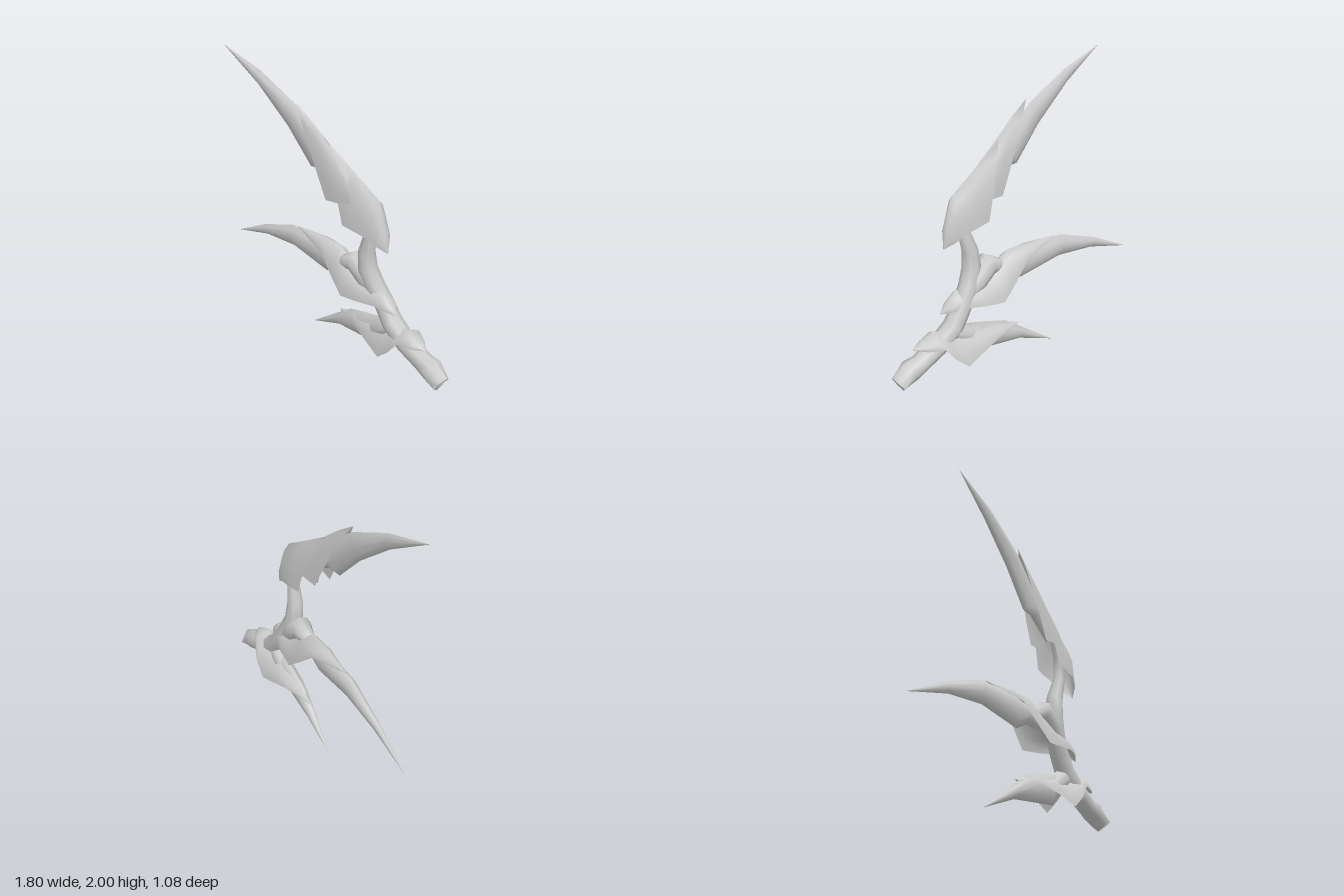
import * as THREE from 'three';

const material = new THREE.MeshStandardMaterial({ color: 0xcccccc, side: THREE.DoubleSide });

// Skin a list of equal-length cross-sections (arrays of Vector3)
function loft(name, rows, closed) {
  const n = rows[0].length, index = [];
  const cols = closed ? n : n - 1;
  for (let i = 0; i < rows.length - 1; i++) {
    for (let j = 0; j < cols; j++) {
      const k = (j + 1) % n;
      const a = i * n + j, b = i * n + k, c = a + n, d = b + n;
      index.push(a, c, b, b, c, d);
    }
  }
  const geometry = new THREE.BufferGeometry().setFromPoints(rows.flat());
  geometry.setIndex(index);
  geometry.computeVertexNormals();
  const mesh = new THREE.Mesh(geometry, material);
  mesh.name = name;
  return mesh;
}

// Each limb lies in an upright plane z = z0 + slope * x
function limbPlane(z0, slope) {
  const len = Math.hypot(1, slope);
  return (x, y, off) => new THREE.Vector3(
    x - off * slope / len, y, z0 + slope * x + off / len);
}

// Pointed blade with a lens section; rows: outer x, y, inner x, y, half thickness
function blade(name, at, rows) {
  const section = [[0, 0], [0.2, 0.8], [0.5, 1], [0.8, 0.65], [1, 0], [0.8, -0.65], [0.5, -1], [0.2, -0.8]];
  return loft(name, rows.map(([ox, oy, ix, iy, t]) => section.map(([f, s]) =>
    at(ox + (ix - ox) * f, oy + (iy - oy) * f, s * t))), true);
}

// Open plate folded over a ridge; rows: ridge x, y, front edge x, y, front width.
// The back flank is wider by the factor back.
function plate(name, at, back, rows) {
  const half = [[1, 1], [0.75, 0.93], [0.45, 0.75], [0.18, 0.42]];
  const section = [...half, [0, 0], ...half.map(([f, s]) => [f, -s * back]).reverse()];
  const lean = 0.45;
  return loft(name, rows.map(([rx, ry, ex, ey, w]) => section.map(([f, s]) =>
    at(rx + (ex - rx) * f + Math.min(Math.abs(s), 1) * w * lean, ry + (ey - ry) * f, s * w))), false);
}

// Eight-sided limb; points: x, y, z, radius, optional scale of every other corner
function limb(name, points) {
  const up = new THREE.Vector3(-0.45, 0, 0.89);
  const p = points.map(q => new THREE.Vector3(q[0], q[1], q[2]));
  const rows = p.map((c, i) => {
    const dir = p[Math.min(i + 1, p.length - 1)].clone().sub(p[Math.max(i - 1, 0)]).normalize();
    const u = up.clone().addScaledVector(dir, -up.dot(dir)).normalize();
    const v = dir.clone().cross(u);
    const [, , , radius, odd = 1] = points[i];
    return Array.from({ length: 8 }, (_, j) => {
      const a = j / 4 * Math.PI, r = j % 2 ? radius * odd : radius;
      return c.clone().addScaledVector(u, r * Math.cos(a)).addScaledVector(v, r * Math.sin(a));
    });
  });
  return loft(name, rows, true);
}

export function createModel() {
  const group = new THREE.Group();
  const upper = limbPlane(0.1, 0.47);
  const upperFront = limbPlane(0.12, 0.47);
  const middle = limbPlane(0.005, 0.605);
  const lower = limbPlane(-0.07, 0.66);

  // Arm running from the diamond-shaped root joint up to the upper blade
  group.add(limb('arm', [
    [0.865, 0.17, 0.475, 0.076, 0.71], [0.79, 0.235, 0.425, 0.076], [0.73, 0.255, 0.39, 0.066],
    [0.6, 0.325, 0.32, 0.07], [0.49, 0.42, 0.255, 0.072], [0.42, 0.54, 0.22, 0.066],
    [0.345, 0.66, 0.2, 0.068], [0.3, 0.77, 0.195, 0.065], [0.295, 0.9, 0.205, 0.055],
    [0.325, 1.05, 0.235, 0.04], [0.3, 1.2, 0.235, 0.035], [0.22, 1.32, 0.2, 0.02]]));
  group.add(limb('rootCap', [[0.875, 0.165, 0.48, 0], [0.865, 0.17, 0.475, 0.076, 0.71]]));

  // Short branches joining the arm to the two side blades
  group.add(limb('middleBranch', [
    [0.4, 0.58, 0.21, 0.03], [0.3, 0.67, 0.17, 0.075], [0.2, 0.765, 0.12, 0.08],
    [0.12, 0.72, 0.08, 0.05], [0.02, 0.68, 0.02, 0.03]]));
  group.add(limb('lowerBranch', [
    [0.52, 0.4, 0.27, 0.04], [0.44, 0.36, 0.22, 0.068], [0.36, 0.29, 0.17, 0.06], [0.26, 0.26, 0.1, 0.03]]));

  // Blades
  group.add(blade('upperBlade', upper, [
    [-0.84, 2, -0.84, 2, 0], [-0.53, 1.9, -0.55, 1.8, 0.028], [-0.23, 1.74, -0.31, 1.58, 0.04],
    [-0.02, 1.55, -0.13, 1.36, 0.04], [0.04, 1.48, -0.03, 1.36, 0.04], [0.2, 1.36, 0.14, 1.25, 0.03]]));
  group.add(blade('middleBlade', middle, [
    [-0.9, 0.47, -0.9, 0.47, 0], [-0.63, 0.64, -0.6, 0.575, 0.025], [-0.35, 0.77, -0.34, 0.61, 0.045],
    [-0.1, 0.785, -0.04, 0.56, 0.05], [0.05, 0.76, 0.05, 0.62, 0.045], [0.2, 0.73, 0.2, 0.62, 0.03]]));
  group.add(blade('lowerBlade', lower, [
    [-0.2, 0, -0.2, 0, 0], [0.04, 0.22, 0.04, 0.12, 0.035], [0.14, 0.31, 0.2, 0.145, 0.048],
    [0.28, 0.365, 0.37, 0.17, 0.05], [0.41, 0.41, 0.42, 0.25, 0.04]]));

  // Overlapping plates on the upper blade
  group.add(plate('upperOuterPlate', upperFront, 1.7, [
    [-0.23, 1.77, 0.01, 1.2, 0.045], [-0.1, 1.67, 0.06, 1.21, 0.05],
    [0.03, 1.55, 0.12, 1.22, 0.055], [0.17, 1.42, 0.2, 1.25, 0.05]]));
  group.add(plate('upperInnerPlate', upper, 1.2, [
    [0.02, 1.565, 0.14, 1.08, 0.075], [0.2, 1.435, 0.2, 1.075, 0.08], [0.38, 1.31, 0.31, 1.06, 0.075],
    [0.44, 1.12, 0.39, 1.01, 0.05], [0.46, 0.96, 0.46, 0.96, 0]]));

  // Plates wrapping the roots of the side blades
  group.add(plate('middlePlate', middle, 1.4, [
    [-0.31, 0.78, -0.31, 0.78, 0], [-0.1, 0.81, -0.07, 0.73, 0.06], [0.06, 0.81, 0.03, 0.61, 0.08],
    [0.13, 0.75, 0.12, 0.51, 0.095], [0.26, 0.67, 0.25, 0.53, 0.085], [0.42, 0.65, 0.37, 0.55, 0.065],
    [0.48, 0.59, 0.45, 0.54, 0.045], [0.53, 0.52, 0.53, 0.52, 0]]));
  group.add(plate('lowerPlate', lower, 1.35, [
    [0.04, 0.25, 0.04, 0.25, 0], [0.18, 0.32, 0.2, 0.26, 0.06], [0.34, 0.365, 0.31, 0.22, 0.085],
    [0.45, 0.38, 0.42, 0.17, 0.1], [0.53, 0.405, 0.5, 0.26, 0.1], [0.61, 0.44, 0.56, 0.35, 0.085],
    [0.69, 0.4, 0.66, 0.35, 0.05], [0.75, 0.36, 0.75, 0.36, 0]]));
  return group;
}
